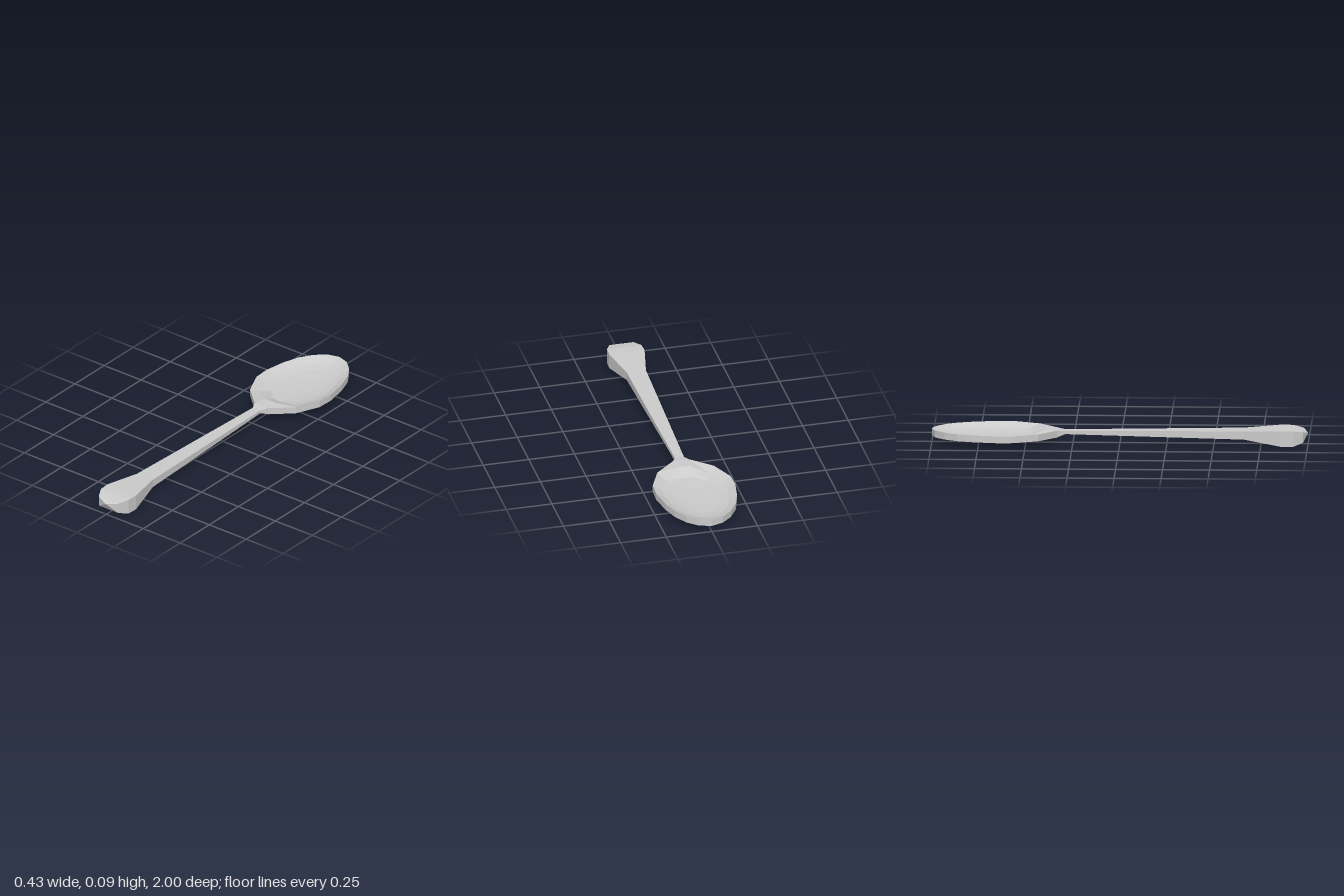
import * as THREE from 'three';

// Skin a list of rings (arrays of [x, y, z]), all with the same point count
function loft(rings) {
  const n = rings[0].length, pos = [];
  for (let i = 0; i < rings.length - 1; i++) {
    for (let j = 0; j < n; j++) {
      const k = (j + 1) % n;
      const a = rings[i][j], b = rings[i][k], c = rings[i + 1][k], d = rings[i + 1][j];
      for (const tri of [[a, d, c], [a, c, b]]) {
        const [p, q, r] = tri.map(v => new THREE.Vector3(...v));
        // skip the collapsed halves at the poles
        if (q.clone().sub(p).cross(r.clone().sub(p)).length() < 1e-9) continue;
        pos.push(...tri.flat());
      }
    }
  }
  const g = new THREE.BufferGeometry();
  g.setAttribute('position', new THREE.Float32BufferAttribute(pos, 3));
  g.computeVertexNormals();
  return g;
}

export function createModel() {
  const group = new THREE.Group();
  group.name = 'spoon';
  const mat = new THREE.MeshStandardMaterial({ color: 0xcccccc, flatShading: true });
  const add = (name, rings) => {
    const mesh = new THREE.Mesh(loft(rings), mat);
    mesh.name = name;
    group.add(mesh);
  };

  // Handle: rectangular sections [z, centre x, half width, bottom, top], butt to neck
  const sections = [
    [1.0, -0.003, 0, 0.063, 0.063],
    [0.975, -0.004, 0.066, 0.02, 0.077],
    [0.92, -0.005, 0.094, 0.002, 0.086],
    [0.86, -0.005, 0.097, 0.003, 0.087],
    [0.66, -0.006, 0.053, 0.033, 0.078],
    [-0.29, -0.002, 0.025, 0.051, 0.068],
    [-0.33, 0, 0.045, 0.038, 0.073],
    [-0.33, 0, 0, 0.055, 0.055],
  ];
  add('handle', sections.map(([z, c, w, lo, hi]) =>
    [[c + w, lo, z], [c + w, hi, z], [c - w, hi, z], [c - w, lo, z]]));

  // Bowl outline: [half width, z] from neck to tip, mirrored
  const half = [[0.045, -0.33], [0.155, -0.43], [0.213, -0.56], [0.217, -0.65],
    [0.196, -0.77], [0.166, -0.86], [0.122, -0.93], [0.066, -0.98]];
  const outline = [...half, [0, -1], ...half.map(([x, z]) => [-x, z]).reverse()];
  const rim = 0.073, midZ = -0.68;

  // Bowl: scaled outlines [scale, y] from the dish floor over the rim to the underside
  const levels = [[0, 0.035], [0.3, 0.037], [0.6, 0.043], [0.8, 0.053], [1, rim],
    [1, 0.036], [0.6, 0.025], [0, 0.022]];
  add('bowl', levels.map(([s, y], i) => outline.map(([x, z]) => {
    const pz = midZ + (z - midZ) * s;
    // flat shoulder on the upper side next to the neck
    return [x * s, i < 4 && pz > -0.405 ? rim : y, pz];
  })));

  return group;
}
